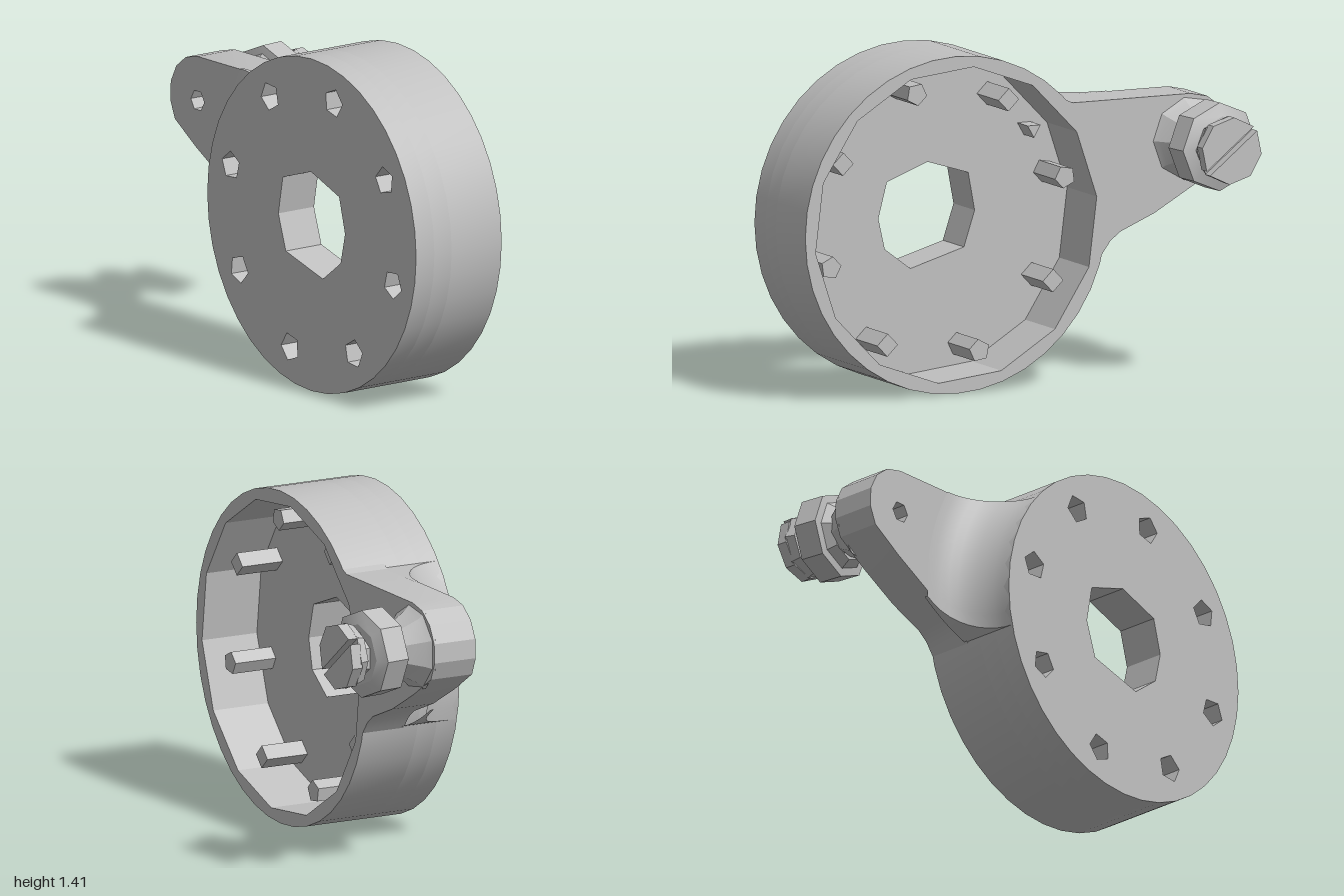
import * as THREE from 'three';
import { toCreasedNormals } from 'three/addons/utils/BufferGeometryUtils.js';

// Outlines are drawn in (u, v) = (-z, y) and extruded along x.
const CU = -0.295, CV = 0.705;       // ring axis
const R = 0.705, R_IN = 0.66;        // ring radii
const BACK = -0.405, FLOOR = -0.22, RIM = 0.04, ARM_BACK = -0.155;
const STUD_U = 0.8, STUD_V = 0.98;   // stud axis

const V2 = (u, v) => new THREE.Vector2(u, v);
const polar = (r, a, u = CU, v = CV) => V2(u + r * Math.cos(a), v + r * Math.sin(a));
const deg = THREE.MathUtils.degToRad;

function polygon(n, r, u, v, start = 0) {
  return Array.from({ length: n }, (_, i) => polar(r, start + (i / n) * Math.PI * 2, u, v));
}

export function createModel() {
  const model = new THREE.Group();
  model.name = 'ringWithArmAndStud';
  const grey = new THREE.MeshStandardMaterial({ color: 0xc0c0c0 });
  grey.name = 'plain grey';

  function add(name, geometry, parent = model) {
    const mesh = new THREE.Mesh(toCreasedNormals(geometry, 0.3), grey);
    mesh.name = name;
    parent.add(mesh);
    return mesh;
  }
  function slab(name, outline, holes, x0, x1, parent = model) {
    const shape = new THREE.Shape(outline);
    holes.forEach((h) => shape.holes.push(new THREE.Path(h)));
    const g = new THREE.ExtrudeGeometry(shape, { depth: x1 - x0, bevelEnabled: false });
    g.rotateY(Math.PI / 2).translate(x0, 0, 0);
    return add(name, g, parent);
  }
  // Turned part along x from [x, radius] pairs, faceted by a low side count
  function turned(name, pairs, sides, parent) {
    const g = new THREE.LatheGeometry(pairs.map(([x, r]) => V2(r, x)), sides);
    g.rotateZ(-Math.PI / 2);
    return add(name, g, parent);
  }

  // Ring wall and pocketed back plate
  const outer = polygon(40, R, CU, CV);
  const bore = [[-0.29, 0.93], [-0.10, 0.87], [-0.07, 0.71], [-0.12, 0.56],
    [-0.37, 0.49], [-0.49, 0.58], [-0.52, 0.71], [-0.48, 0.86]].map(([u, v]) => V2(u, v));
  const pinAngles = Array.from({ length: 8 }, (_, i) => deg(15 + i * 45));
  const pockets = pinAngles.map((a) => {
    const c = polar(0.566, a);
    return polygon(5, 0.06, c.x, c.y, a);
  });
  slab('ringWall', outer, [polygon(14, R_IN, CU, CV, 0.1)], FLOOR, RIM);
  slab('floorPlate', outer, [bore], -0.31, FLOOR);
  slab('pocketPlate', outer, [bore, ...pockets], BACK, -0.31);

  // Pins standing on the floor inside the ring
  pinAngles.forEach((a, i) => {
    const c = polar(0.566, a);
    slab('pin' + (i + 1), polygon(i % 2 ? 4 : 5, 0.048, c.x, c.y, a + 0.5), [], FLOOR - 0.01, -0.03);
  });
  const nub = polar(0.566, deg(36.5));
  slab('smallNub', polygon(3, 0.035, nub.x, nub.y, -Math.PI / 2), [], FLOOR - 0.01, -0.13);

  // Arm: starts on an arc buried in the ring wall and ends in a rounded tip
  const arm = [];
  for (let i = 0; i <= 10; i++) arm.push(polar(0.69, deg(48.5 - i * 6.6)));
  arm.push(V2(0.395, 0.54), V2(0.425, 0.58), V2(0.47, 0.615), V2(0.63, 0.68), V2(0.81, 0.78));
  for (let i = 1; i <= 6; i++) arm.push(polar(0.187, deg(-60 + i * 25), STUD_U, STUD_V));
  arm.push(V2(0.25, 1.172), V2(0.21, 1.19));
  slab('arm', arm, [polygon(6, 0.045, STUD_U, STUD_V)], ARM_BACK, RIM);

  // Concave fillet sweeping from the ring's back edge down to the arm
  const pos = [], index = [], rows = 10, cols = 12;
  for (let i = 0; i <= rows; i++) {
    const t = (i / rows) * Math.PI / 2;
    const r = 0.93 - 0.227 * Math.cos(t), x = BACK + 0.25 * Math.sin(t);
    const low = deg(-14 + 11 * (r - R) / 0.225), high = Math.asin(0.467 / r);
    for (let j = -1; j <= cols + 1; j++) {
      const k = THREE.MathUtils.clamp(j / cols, 0, 1);
      const p = polar(r, low + (high - low) * k);
      pos.push(j < 0 || j > cols ? -0.14 : x, p.y, -p.x);
    }
  }
  const w = cols + 3;
  for (let i = 0; i < rows; i++) {
    for (let j = 0; j < w - 1; j++) {
      const a = i * w + j, b = a + w;
      index.push(a, b + 1, b, a, a + 1, b + 1);
    }
  }
  const fillet = new THREE.BufferGeometry();
  fillet.setAttribute('position', new THREE.Float32BufferAttribute(pos, 3));
  fillet.setIndex(index);
  add('armFillet', fillet);

  // Stud: flared base, tilted nut, neck and slotted head
  const stud = new THREE.Group();
  stud.name = 'stud';
  stud.position.set(0, STUD_V, -STUD_U);
  model.add(stud);
  turned('studBase', [[0.03, 0], [0.03, 0.185], [0.06, 0.155], [0.14, 0.105], [0.14, 0]], 9, stud);
  turned('neck', [[0.12, 0], [0.12, 0.105], [0.34, 0.1], [0.34, 0]], 7, stud);
  const nut = turned('nut', [[-0.095, 0], [-0.095, 0.12], [-0.06, 0.15], [-0.055, 0.185],
    [0.05, 0.185], [0.07, 0.13], [0.07, 0]], 8, stud);
  nut.position.x = 0.235;
  nut.rotation.y = 0.12;
  turned('headBase', [[0.32, 0], [0.32, 0.125], [0.36, 0.14], [0.36, 0]], 8, stud);

  // Two head halves leave a diagonal screwdriver slot between them
  for (const side of [0, Math.PI]) {
    const half = [];
    for (let i = 0; i <= 4; i++) half.push(polar(0.14, deg(5 + i * 42.5), 0, 0));
    const mesh = slab('headHalf', half, [], 0.355, 0.402, stud);
    mesh.rotation.x = deg(38) + side;
  }
  return model;
}
